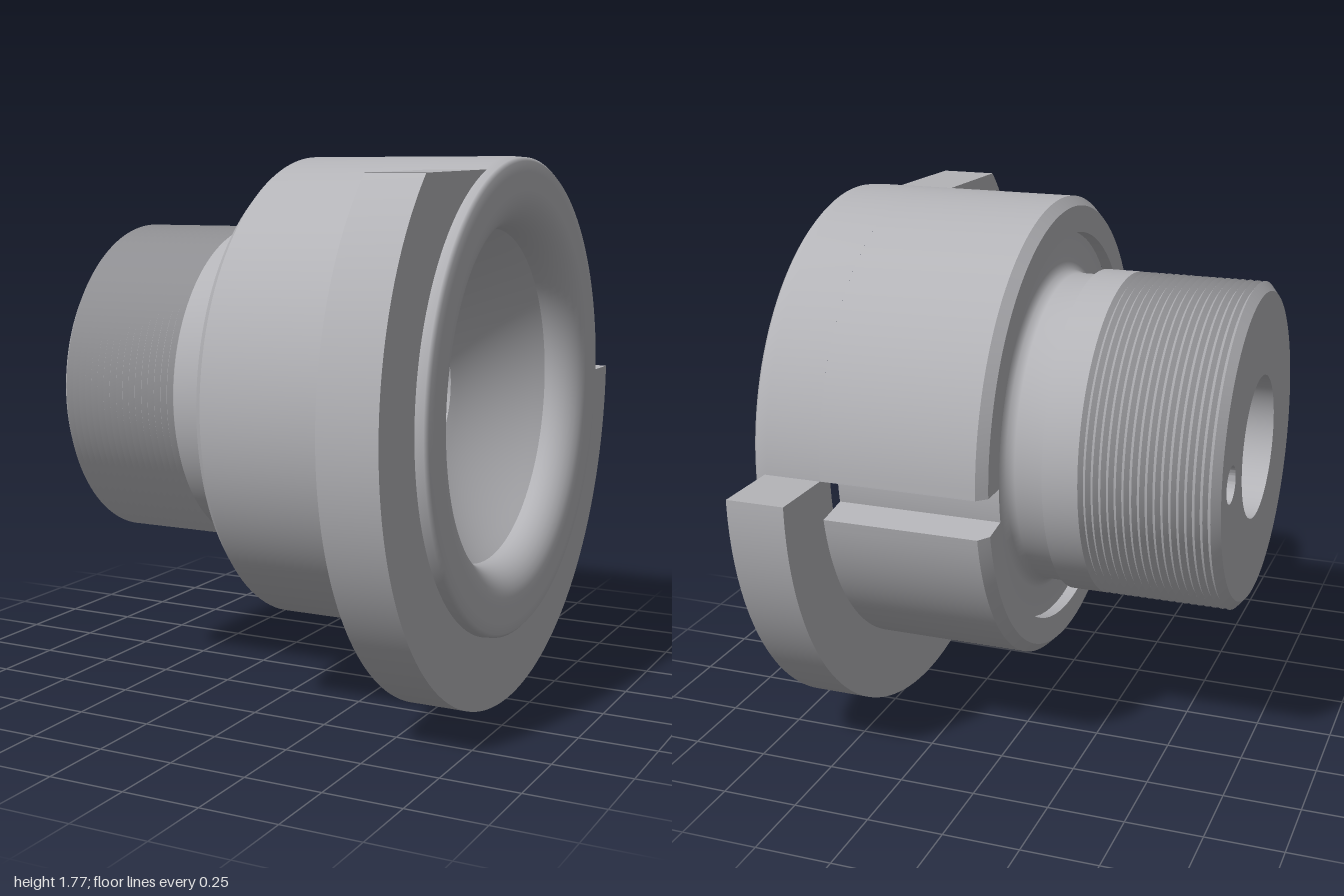
import * as THREE from 'three';
import { toCreasedNormals } from 'three/addons/utils/BufferGeometryUtils.js';

const SEG = 128;
const steel = new THREE.MeshStandardMaterial({ color: 0xb4b4b8 });
steel.name = 'steel';

export function createModel() {
  const model = new THREE.Group();
  const axis = new THREE.Group(); // everything turns about the x axis at y = 1
  axis.name = 'fitting';
  axis.position.y = 1;
  model.add(axis);

  const add = (name, geometry) => {
    const mesh = new THREE.Mesh(geometry, steel);
    mesh.name = name;
    axis.add(mesh);
    return mesh;
  };
  // Turned surface from [radius, x] points; outside surfaces run towards +x
  const turn = (name, pts, start = 0, length = Math.PI * 2, crease = 0) => {
    let g = new THREE.LatheGeometry(pts.map(p => new THREE.Vector2(...p)), SEG, start, length);
    g.rotateZ(-Math.PI / 2);
    if (crease) g = toCreasedNormals(g, crease);
    return add(name, g);
  };

  // Threaded shank: lead-in chamfer, ridges, plain collar
  const thread = [[0.505, -0.71], [0.535, -0.685]];
  const teeth = 17, pitch = 0.415 / teeth;
  for (let i = 0; i < teeth; i++) {
    thread.push([0.518, -0.685 + (i + 0.5) * pitch], [0.535, -0.685 + (i + 1) * pitch]);
  }
  thread.push([0.535, -0.155], [0.515, -0.155]);
  turn('threadedShank', thread, 0, Math.PI * 2, 0.5);
  turn('neck', [[0.515, -0.155], [0.515, -0.06], [0.525, -0.035], [0.55, -0.02], [0.65, -0.02]]);

  // Shank end face with the bore and a small drilled hole
  const face = new THREE.Shape().absarc(0, 0, 0.505, 0, Math.PI * 2, false);
  const circle = (x, r) => new THREE.Path().absarc(x, 0, r, 0, Math.PI * 2, true);
  face.holes.push(circle(0, 0.235), circle(-0.38, 0.06));
  add('shankEndFace', new THREE.ShapeGeometry(face, 64).rotateY(-Math.PI / 2).translate(-0.71, 0, 0));
  turn('drilledHole', [[0, 0.3], [0.06, 0.3], [0.06, 0]], 0, Math.PI * 2, 0.6).position.set(-0.71, 0, -0.38);

  // Body drum, interrupted by a keyway on its back side
  const gap = 0.17;
  const drum = [[0.65, -0.02], [0.65, -0.06], [0.737, -0.06], [0.767, -0.03], [0.767, 0.48]];
  turn('bodyDrum', drum, Math.PI, Math.PI * 2 - gap, 0.6);
  turn('keywayFloor', [[0.65, -0.06], [0.65, 0.48]], Math.PI - gap, gap);
  const wall = new THREE.Shape([...drum, [0.65, 0.48]].map(p => new THREE.Vector2(p[1], p[0])));
  const wallGeometry = flip => {
    // wall lies in the plane of x and radius, turned to point backwards
    const g = new THREE.ShapeGeometry(wall);
    return flip ? g.rotateX(-Math.PI / 2) : g.rotateX(-Math.PI / 2 - gap);
  };
  const keyMaterial = steel.clone();
  keyMaterial.side = THREE.DoubleSide;
  add('keywayTopWall', wallGeometry(true)).material = keyMaterial;
  add('keywayBottomWall', wallGeometry(false)).material = keyMaterial;

  // Front end of the body: rim rounding over into the opening
  const rim = [[0.767, 0.48], [0.767, 0.66], [0.764, 0.697], [0.752, 0.708], [0.72, 0.71], [0.66, 0.71]];
  for (let i = 1; i <= 8; i++) {
    const a = (i / 8) * Math.PI / 2;
    rim.push([0.66 - 0.12 * Math.sin(a), 0.59 + 0.12 * Math.cos(a)]);
  }
  turn('bodyRim', rim);

  // Dished seat leading to the through bore
  const seat = [];
  for (let i = 0; i <= 10; i++) {
    const t = i / 10;
    seat.push([0.54 - 0.305 * t, 0.59 - 0.23 * (1.35 * t - 0.35 * t * t)]);
  }
  turn('dishedSeat', seat);
  turn('bore', [[0.235, 0.36], [0.235, -0.71]]);

  // Partial flange: arc from the upper front round underneath to the back
  const flange = new THREE.Shape();
  flange.moveTo(-0.25, 0.725);
  flange.lineTo(-0.7, 0.715);
  flange.absarc(0, 0, 1, Math.PI - Math.atan2(0.715, 0.7), Math.PI * 2, false);
  flange.lineTo(0.7, 0);
  flange.absarc(0, 0, 0.7, Math.PI * 2, 1.86, true);
  flange.closePath();
  const flangeGeometry = new THREE.ExtrudeGeometry(flange, { depth: 0.19, bevelEnabled: false, curveSegments: 80 });
  flangeGeometry.rotateY(Math.PI / 2).translate(0.48, 0, 0);
  add('partialFlange', toCreasedNormals(flangeGeometry, 0.4));

  return model;
}
